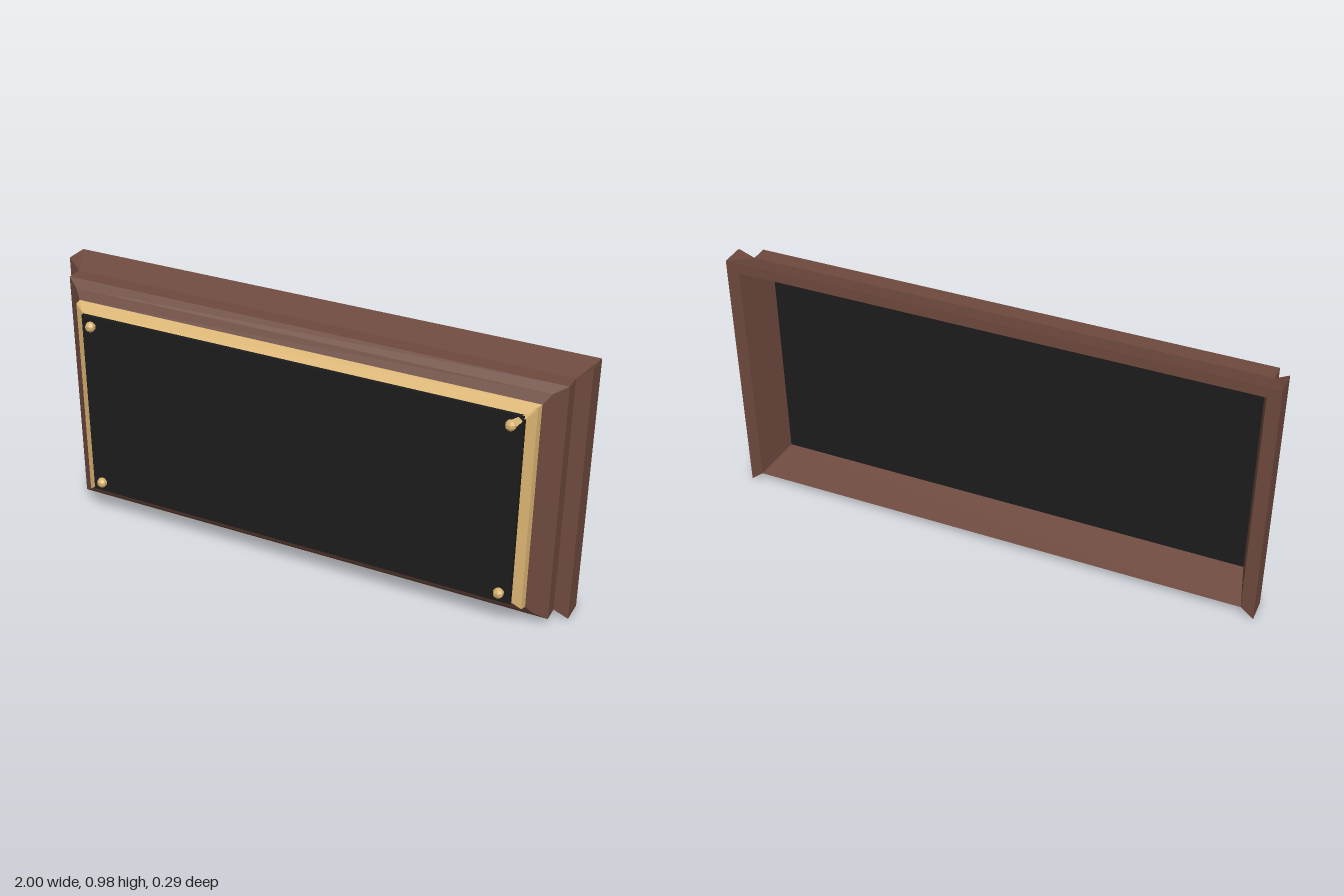
import * as THREE from 'three';

// Flat-shaded mesh from polygons, each fanned from its first corner
function faces(name, polygons, material) {
  const pos = [];
  for (const p of polygons)
    for (let i = 1; i < p.length - 1; i++) pos.push(...p[0], ...p[i], ...p[i + 1]);
  const g = new THREE.BufferGeometry();
  g.setAttribute('position', new THREE.Float32BufferAttribute(pos, 3));
  g.computeVertexNormals();
  const mesh = new THREE.Mesh(g, material);
  mesh.name = name;
  return mesh;
}

// Rectangle section: bottom left, bottom right, top right, top left
const rect = (x0, x1, y0, y1, z) => [[x0, y0, z], [x1, y0, z], [x1, y1, z], [x0, y1, z]];

// Quads between successive sections; sides are 0 bottom, 1 right, 2 top, 3 left
function loft(sections, sides = [0, 1, 2, 3]) {
  const quads = [];
  for (let s = 0; s < sections.length - 1; s++) {
    const a = sections[s], b = sections[s + 1];
    for (const i of sides) {
      const j = (i + 1) % 4;
      quads.push([a[i], a[j], b[j], b[i]]);
    }
  }
  return quads;
}

export function createModel() {
  const wood = new THREE.MeshStandardMaterial({ color: 0x6d493e, side: THREE.DoubleSide });
  wood.name = 'brown wood';
  const brass = new THREE.MeshStandardMaterial({ color: 0xd8b270, side: THREE.DoubleSide, flatShading: true });
  brass.name = 'brass';
  const black = new THREE.MeshStandardMaterial({ color: 0x1c1c1c });
  black.name = 'black panel';

  const model = new THREE.Group();
  model.name = 'wallPlaque';

  // Frame sections from back to front; the step fades out at the lower left
  const back = rect(-1, 1, 0, 0.98, -0.146);
  const backFront = rect(-1, 1, 0, 0.98, -0.057);
  const step = rect(-0.95, 0.95, 0.035, 0.945, -0.04);
  step[0] = backFront[0];
  const shoulder = rect(-0.95, 0.95, 0.035, 0.945, 0.022);
  const bevel = rect(-0.905, 0.905, 0.062, 0.92, 0.05);
  const lip = rect(-0.88, 0.88, 0.095, 0.886, 0.07);
  const rim = rect(-0.952, 0.952, 0.04, 0.94, -0.146);
  const pocket = rect(-0.912, 0.912, 0.078, 0.893, 0.016);

  model.add(faces('frameSides', loft([back, backFront, step, shoulder], [1, 3]), wood));
  // Top rail slopes straight from the back edge, leaving the stile corners standing
  model.add(faces('frameTop', [
    ...loft([back, step, shoulder], [2]),
    [back[2], step[2], backFront[2]],
    [back[3], backFront[3], step[3]],
  ], wood));
  model.add(faces('frameBevel', loft([shoulder, bevel, lip]), wood));
  model.add(faces('frameBackRim', loft([rim, back], [1, 2, 3]), wood));
  model.add(faces('frameInside', loft([rim, pocket]), wood));
  model.add(faces('frameUnderside', [
    [backFront[0], rim[0], rim[1], step[1], shoulder[1], shoulder[0]],
    [back[0], rim[0], backFront[0]],
    [back[1], backFront[1], step[1], rim[1]],
  ], wood));

  // Brass border: stepped sides, plain slopes at the top and bottom
  const edge = rect(-0.877, 0.875, 0.1, 0.882, 0.096);
  const inner = rect(-0.842, 0.842, 0.125, 0.857, 0.108);
  model.add(faces('brassBorder', [
    ...loft([lip, edge, inner], [1, 3]),
    ...loft([lip, inner], [0, 2]),
    ...lip.map((corner, i) => [corner, edge[i], inner[i]]),
  ], brass));

  // Front plate, and the backing board inside the frame
  const plate = new THREE.Mesh(new THREE.BoxGeometry(1.68, 0.732, 0.03), black);
  plate.name = 'frontPlate';
  plate.position.set(0, 0.491, 0.106);
  const backing = new THREE.Mesh(new THREE.BoxGeometry(1.824, 0.815, 0.006), black);
  backing.name = 'backingBoard';
  backing.position.set(0, 0.4855, 0.019);
  model.add(plate, backing);

  // Faceted corner screws
  const dome = new THREE.SphereGeometry(0.02, 7, 5);
  for (const x of [-0.8, 0.8])
    for (const y of [0.165, 0.82]) {
      const screw = new THREE.Mesh(dome, brass);
      screw.name = 'cornerScrew';
      screw.position.set(x, y, 0.129);
      model.add(screw);
    }

  // Sliver joining the upper screw to the border corner
  model.add(faces('screwSliver', [
    [[0.79, 0.835, 0.135], [0.815, 0.815, 0.135], edge[2]],
  ], brass));

  return model;
}
